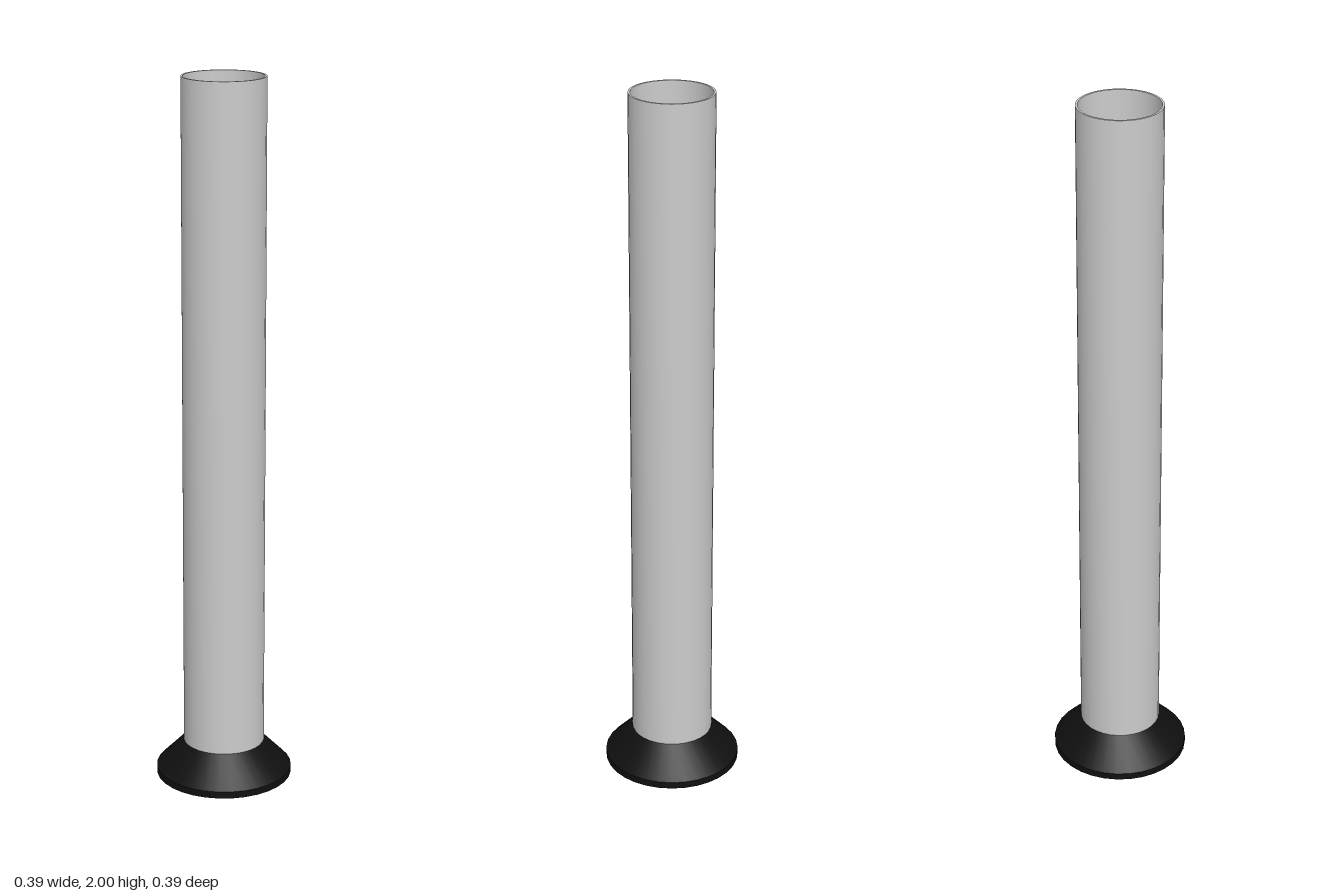
import * as THREE from 'three';
import { toCreasedNormals } from 'three/addons/utils/BufferGeometryUtils.js';

const SIDES = 32;

// Turns a profile of [radius, height] pairs around the y axis
function turned(name, profile, color) {
  const points = profile.map(([r, y]) => new THREE.Vector2(r, y));
  const geometry = toCreasedNormals(new THREE.LatheGeometry(points, SIDES), 0.5);
  const material = new THREE.MeshStandardMaterial({ color, side: THREE.DoubleSide });
  const mesh = new THREE.Mesh(geometry, material);
  mesh.name = name;
  return mesh;
}

export function createModel() {
  const group = new THREE.Group();
  group.name = 'post';

  // Flared foot with a short upright edge and a flat top that closes the tube
  group.add(turned('base', [[0, 0], [0.193, 0], [0.193, 0.02], [0.115, 0.1], [0, 0.1]], 0x101010));

  // Open hollow tube with a thin rim and a slightly tapering bore
  group.add(turned('tube', [[0.115, 0.1], [0.115, 2], [0.109, 2], [0.101, 0.1]], 0xcccccc));

  return group;
}
